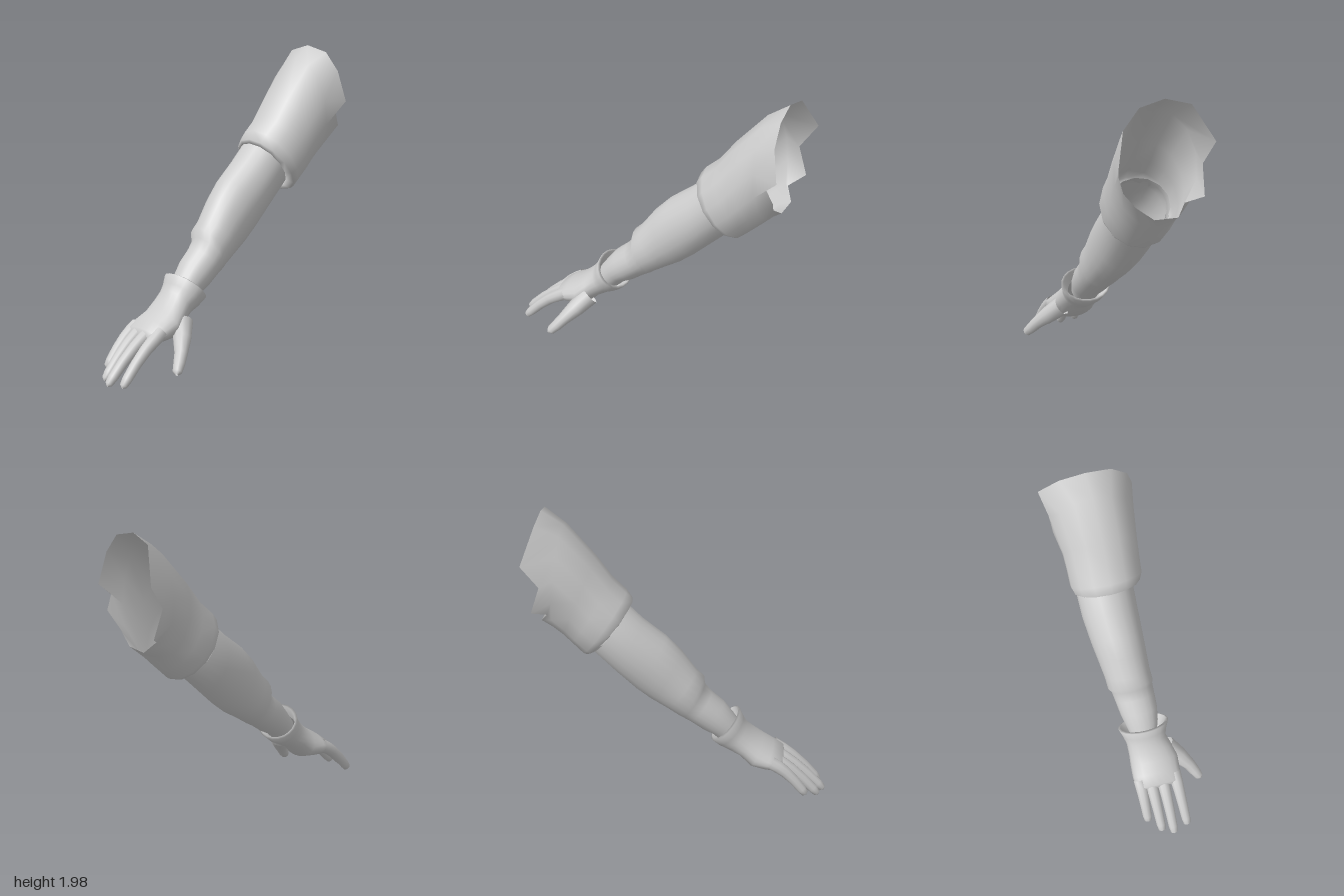
import * as THREE from 'three';

const material = new THREE.MeshStandardMaterial({ color: 0xcccccc, side: THREE.DoubleSide });

// Smooth skin through closed rings that all have the same number of points
function loft(name, rings) {
  const n = rings[0].length, index = [];
  for (let i = 0; i < rings.length - 1; i++) {
    for (let j = 0; j < n; j++) {
      const k = (j + 1) % n;
      const a = i * n + j, b = a + n, c = (i + 1) * n + k, d = i * n + k;
      index.push(a, b, c, a, c, d);
    }
  }
  const geometry = new THREE.BufferGeometry();
  geometry.setAttribute('position', new THREE.Float32BufferAttribute(rings.flat(2), 3));
  geometry.setIndex(index);
  geometry.computeVertexNormals();
  const mesh = new THREE.Mesh(geometry, material);
  mesh.name = name;
  return mesh;
}

// Oval ring spanning an upper and a lower point, and a back-to-front depth
function oval([topX, topY, lowX, lowY, zMin, zMax], n) {
  return Array.from({ length: n }, (_, j) => {
    const a = (j / n) * Math.PI * 2, c = (1 + Math.cos(a)) / 2;
    return [
      lowX + (topX - lowX) * c,
      lowY + (topY - lowY) * c,
      (zMin + zMax) / 2 - ((zMax - zMin) / 2) * Math.sin(a),
    ];
  });
}

// Round digit from tip to root; each stop is x, y, z, radius
function digit(name, stops, n = 10) {
  const points = stops.map((s) => new THREE.Vector3(s[0], s[1], s[2]));
  const rings = points.map((p, i) => {
    const along = points[Math.min(i + 1, points.length - 1)].clone()
      .sub(points[Math.max(i - 1, 0)]).normalize();
    const up = new THREE.Vector3(0, 0, 1).cross(along).normalize();
    const side = along.clone().cross(up);
    return Array.from({ length: n }, (_, j) => {
      const a = (j / n) * Math.PI * 2, r = stops[i][3];
      return p.clone().addScaledVector(up, r * Math.cos(a))
        .addScaledVector(side, -r * Math.sin(a)).toArray();
    });
  });
  return loft(name, rings);
}

export function createModel() {
  const model = new THREE.Group();
  model.name = 'arm';

  // Sleeve: turned-in cuff, widening body and ragged shoulder edge
  const sleeve = [
    [0.44, 1.44, 0.64, 1.17, -0.24, 0.14],
    [0.33, 1.38, 0.56, 1.08, -0.25, 0.13],
    [0.31, 1.41, 0.61, 1.05, -0.26, 0.17],
    [0.35, 1.465, 0.63, 1.06, -0.275, 0.19],
    [0.44, 1.55, 0.70, 1.13, -0.275, 0.195],
    [0.54, 1.69, 0.75, 1.18, -0.28, 0.20],
    [0.73, 1.91, 0.80, 1.23, -0.31, 0.215],
  ].map((s) => oval(s, 14));
  const raggedEdge = [
    [0.86, 2.0, -0.06], [0.87, 1.96, -0.22], [0.94, 1.75, -0.345], [0.84, 1.6, -0.31],
    [0.9, 1.42, -0.3], [0.82, 1.37, -0.21], [0.87, 1.3, -0.15], [0.87, 1.3, 0],
    [0.86, 1.38, 0.11], [0.89, 1.48, 0.2], [0.85, 1.57, 0.215], [0.92, 1.64, 0.24],
    [0.88, 1.84, 0.2], [0.87, 1.96, 0.1],
  ];
  model.add(loft('sleeve', [...sleeve, raggedEdge]));

  // Forearm with a wrapped edge above the wrist
  model.add(loft('forearm', [
    [-0.38, 0.54, -0.26, 0.41, -0.09, 0.09],
    [-0.33, 0.61, -0.20, 0.47, -0.11, 0.11],
    [-0.27, 0.69, -0.13, 0.51, -0.13, 0.12],
    [-0.19, 0.76, -0.05, 0.57, -0.145, 0.12],
    [-0.145, 0.82, 0.0, 0.60, -0.155, 0.12],
    [-0.14, 0.88, 0.02, 0.615, -0.175, 0.125],
    [-0.09, 0.93, 0.10, 0.67, -0.18, 0.12],
    [0.0, 1.06, 0.20, 0.735, -0.20, 0.12],
    [0.10, 1.17, 0.29, 0.81, -0.22, 0.12],
    [0.25, 1.29, 0.41, 0.93, -0.24, 0.12],
    [0.34, 1.38, 0.55, 1.07, -0.245, 0.12],
    [0.40, 1.42, 0.61, 1.15, -0.23, 0.13],
  ].map((s) => oval(s, 20))));

  // Glove palm, wrist and flared cuff folded inward
  const glove = new THREE.Group();
  glove.name = 'glove';
  glove.add(loft('palmAndCuff', [
    [-0.67, 0.29, -0.66, 0.275, -0.09, 0.15],
    [-0.665, 0.335, -0.625, 0.235, -0.13, 0.18],
    [-0.60, 0.385, -0.54, 0.235, -0.14, 0.185],
    [-0.53, 0.43, -0.45, 0.245, -0.135, 0.19],
    [-0.47, 0.48, -0.38, 0.32, -0.13, 0.165],
    [-0.425, 0.53, -0.30, 0.365, -0.13, 0.14],
    [-0.40, 0.57, -0.235, 0.40, -0.145, 0.155],
    [-0.375, 0.625, -0.19, 0.44, -0.165, 0.175],
    [-0.36, 0.62, -0.195, 0.455, -0.15, 0.16],
    [-0.39, 0.54, -0.25, 0.41, -0.11, 0.115],
  ].map((s) => oval(s, 20))));

  // Fingers: tip x, tip y, tip z, root z
  const fingers = {
    indexFinger: [-0.91, 0.02, 0.158, 0.14],
    middleFinger: [-0.945, 0.015, 0.057, 0.052],
    ringFinger: [-0.91, 0.025, -0.02, -0.03],
    littleFinger: [-0.83, 0.07, -0.1, -0.098],
  };
  const profile = [[0, 0.006], [0.03, 0.024], [0.12, 0.031], [0.35, 0.034], [0.6, 0.038], [0.8, 0.042], [1, 0.045]];
  for (const [name, [x, y, z, rootZ]] of Object.entries(fingers)) {
    glove.add(digit(name, profile.map(([t, r]) => [
      x + (-0.59 - x) * t,
      y + 0.015 + (0.3 - y) * t + 0.03 * Math.sin(Math.PI * t),
      z + (rootZ - z) * t,
      r,
    ])));
  }
  glove.add(digit('thumb', [
    [-0.63, 0.1, 0.33, 0.008], [-0.615, 0.112, 0.318, 0.03], [-0.58, 0.15, 0.295, 0.037],
    [-0.54, 0.2, 0.265, 0.042], [-0.48, 0.27, 0.205, 0.058], [-0.41, 0.35, 0.13, 0.065],
  ]));
  model.add(glove);
  return model;
}
